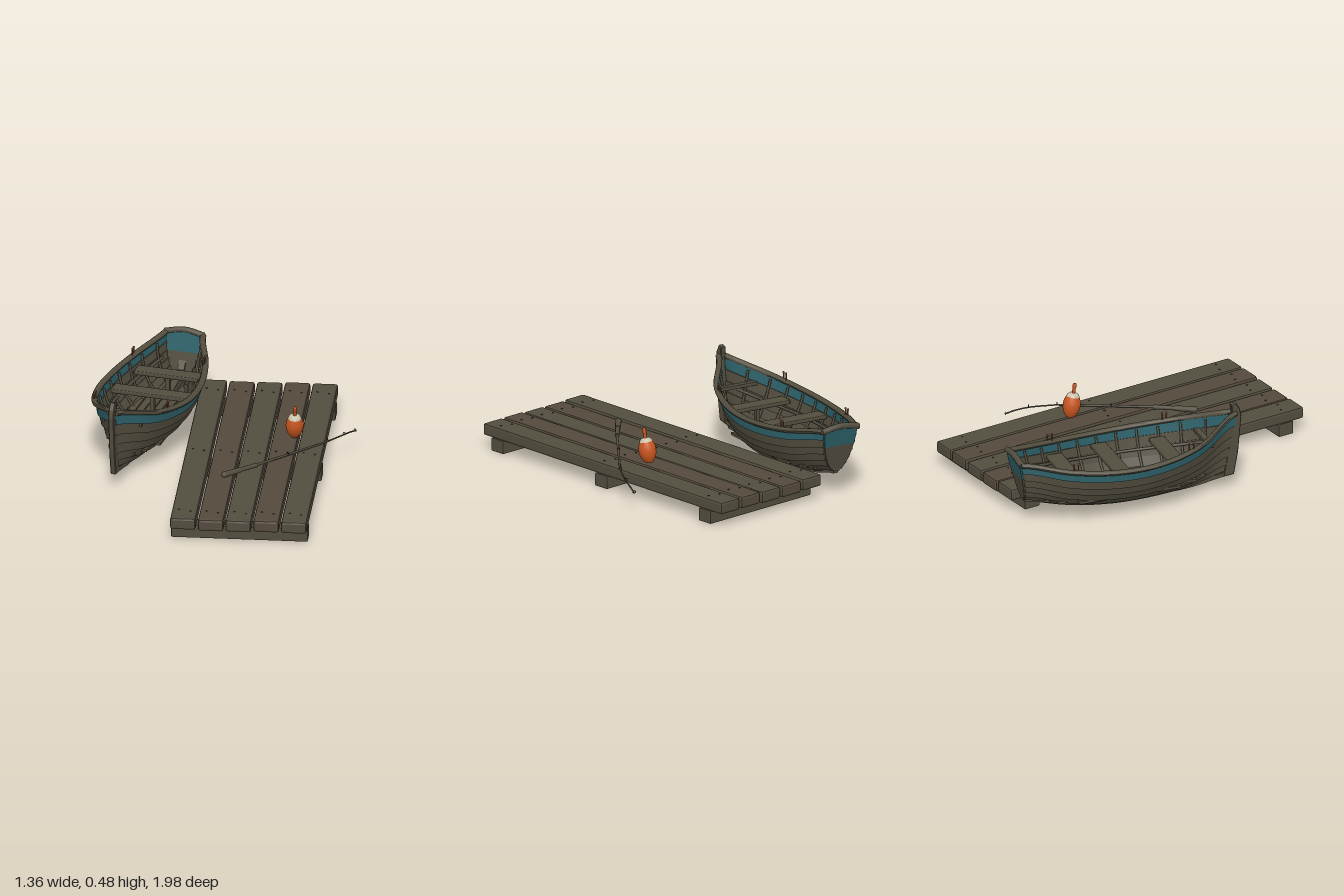
import * as THREE from 'three';
import { toCreasedNormals } from 'three/addons/utils/BufferGeometryUtils.js';
import { RoundedBoxGeometry } from 'three/addons/geometries/RoundedBoxGeometry.js';

const V3 = (x, y, z) => new THREE.Vector3(x, y, z);
const mat = (name, color) => Object.assign(new THREE.MeshStandardMaterial({ color }), { name });
const wood = mat('weatheredWood', 0x524d3e), warmWood = mat('warmWood', 0x544a3c);
const teal = mat('tealPaint', 0x2d616a), dark = mat('darkMetal', 0x39352d), copper = mat('copper', 0x74482e);
const orange = mat('orangePaint', 0xc9561f), cream = mat('creamPaint', 0xcac1a8);

function add(parent, name, geo, material, x = 0, y = 0, z = 0) {
  const m = new THREE.Mesh(geo, material);
  m.name = name;
  m.position.set(x, y, z);
  parent.add(m);
  return m;
}

// Smooth function of t in 0..1 through evenly spaced values
function spline(...values) {
  const c = new THREE.SplineCurve(values.map((v) => new THREE.Vector2(0, v)));
  return (t) => c.getPoint(t).y;
}

// Closed solid swept through section(t), each an anticlockwise loop seen from +z
function loft(section, steps = 32, t0 = 0, t1 = 1) {
  const pos = [], index = [];
  let n = 0;
  for (let i = 0; i <= steps; i++) {
    const loop = section(t0 + (t1 - t0) * i / steps);
    n = loop.length;
    loop.forEach((p) => pos.push(p.x, p.y, p.z));
  }
  for (let i = 0; i < steps; i++) for (let j = 0; j < n; j++) {
    const a = i * n + j, b = i * n + (j + 1) % n;
    index.push(a, b, b + n, a, b + n, a + n);
  }
  const e = steps * n;
  for (let j = 1; j < n - 1; j++) index.push(0, j + 1, j, e, e + j, e + j + 1);
  const g = new THREE.BufferGeometry();
  g.setAttribute('position', new THREE.Float32BufferAttribute(pos, 3));
  g.setIndex(index);
  return toCreasedNormals(g, 0.7);
}
const mirrorLoop = (loop) => loop.map((p) => V3(-p.x, p.y, p.z)).reverse();
const tube = (pts, r, seg = 16, sides = 8) =>
  new THREE.TubeGeometry(new THREE.CatmullRomCurve3(pts), seg, r, sides);

// Hull form: t runs stern to bow, s runs keel to sheer
const halfWidth = spline(0.095, 0.185, 0.236, 0.234, 0.165, 0.012);
const sheer = spline(0.365, 0.325, 0.308, 0.315, 0.35, 0.42);
const keelY = spline(0.13, 0.075, 0.05, 0.046, 0.055, 0.09);
const lerp = THREE.MathUtils.lerp;
function rawHull(t, s) {
  const a = s * Math.PI / 2, yf = 1 - Math.cos(a);
  const xf = lerp(0.85 * Math.sin(a) + 0.15 * s, yf, t ** 3 * 0.8);
  return V3(halfWidth(t) * xf, lerp(keelY(t), sheer(t), yf), lerp(-0.55 - 0.05 * yf, 0.575 + 0.03 * yf, t));
}
function hull(t, s, off = 0) {
  const p = rawHull(t, s), d = rawHull(t, s + 0.01).sub(rawHull(t, s - 0.01));
  const len = Math.hypot(d.x, d.y) || 1;
  p.x = Math.max(0, p.x + d.y / len * off);
  p.y -= d.x / len * off;
  return p;
}

function createDock() {
  const dock = new THREE.Group();
  dock.name = 'dock';
  dock.position.set(0.135, 0, 0.05);
  dock.rotation.y = -0.167;
  const drop = [0, -0.004, -0.003, 0.001, 0];
  for (let i = 0; i < 5; i++) {
    const x = (i - 2) * 0.142;
    add(dock, 'deckPlank', toCreasedNormals(new RoundedBoxGeometry(0.13, 0.064, 1.785, 1, 0.012), 0.3),
      i % 2 ? warmWood : wood, x, 0.103 + drop[i], 0);
    // Nail heads over each beam
    for (const z of [-0.765, 0.01, 0.785]) for (const sx of [-0.03, 0.03])
      add(dock, 'nail', new THREE.CylinderGeometry(0.005, 0.005, 0.004, 8), dark, x + sx, 0.136 + drop[i], z + sx * 0.3);
  }
  for (const z of [-0.765, 0.01, 0.785])
    add(dock, 'crossBeam', toCreasedNormals(new RoundedBoxGeometry(0.7, 0.07, 0.09, 1, 0.006), 0.3), wood, 0, 0.037, z);
  return dock;
}

function transomPart(s0, s1, arch) {
  const side = [];
  for (let i = 0; i <= 8; i++) side.push(hull(0, lerp(s0, s1, i / 8)));
  const shape = new THREE.Shape();
  shape.moveTo(-side[0].x, side[0].y);
  side.forEach((p) => shape.lineTo(p.x, p.y));
  const top = side[8];
  shape.quadraticCurveTo(0, top.y + arch, -top.x, top.y);
  for (let i = 7; i >= 0; i--) shape.lineTo(-side[i].x, side[i].y);
  const g = new THREE.ExtrudeGeometry(shape, { depth: 0.022, bevelEnabled: false });
  // Rake the board to follow the stern
  const p = g.attributes.position;
  for (let i = 0; i < p.count; i++)
    p.setZ(i, p.getZ(i) - 0.558 - 0.05 * (p.getY(i) - 0.13) / 0.235);
  g.computeVertexNormals();
  return g;
}

function createBoat() {
  const boat = new THREE.Group();
  boat.name = 'rowingBoat';
  boat.position.set(-0.37, 0, -0.39);
  boat.rotation.y = -0.386;

  const edges = [0, 0.2, 0.36, 0.5, 0.63, 0.75, 0.87, 1];
  for (const side of [1, -1]) {
    const pick = (loop) => (side > 0 ? loop : mirrorLoop(loop));
    // Overlapping hull planks, the top one painted
    for (let k = 0; k < 7; k++) {
      const a = edges[k], b = edges[k + 1];
      add(boat, 'hullPlank', loft((t) => pick([hull(t, a, 0.009), hull(t, b, 0.001), hull(t, b, -0.007), hull(t, a, 0)])),
        k === 6 ? teal : wood);
    }
    // Rounded gunwale
    add(boat, 'gunwale', loft((t) => {
      const c = hull(t, 1), loop = [];
      for (let j = 0; j < 10; j++) {
        const a = j / 10 * Math.PI * 2;
        loop.push(V3(c.x + 0.003 + 0.017 * Math.cos(a), c.y + 0.014 * Math.sin(a), c.z));
      }
      return pick(loop);
    }), wood);
    // Ribs inside the hull
    for (let i = 0; i < 10; i++) {
      const t = 0.08 + i * 0.09, pts = [];
      for (let j = 0; j <= 6; j++) {
        const p = hull(t, 0.3 + j * 0.11, -0.009);
        pts.push(V3(p.x * side, p.y, p.z));
      }
      add(boat, 'rib', tube(pts, 0.007, 10, 6), wood);
    }
    // Stringer that carries the seats
    const stringer = [];
    for (let i = 0; i <= 10; i++) {
      const p = hull(0.06 + i * 0.086, 0.72, -0.012);
      stringer.push(V3(p.x * side, p.y, p.z));
    }
    add(boat, 'stringer', tube(stringer, 0.008, 24, 6), wood);
    // Paired oar pins
    for (const t of [0.22, 0.74]) for (const d of [-0.012, 0.012]) {
      const p = hull(t, 1);
      add(boat, 'oarPin', new THREE.CylinderGeometry(0.004, 0.004, 0.04, 8), copper, p.x * side, p.y + 0.025, p.z + d);
      add(boat, 'oarPinKnob', new THREE.SphereGeometry(0.006, 8, 6), copper, p.x * side, p.y + 0.045, p.z + d);
    }
  }

  // Keel and stem
  add(boat, 'keel', loft((t) => {
    const p = hull(t, 0), w = 0.013;
    return [V3(-w, p.y - 0.014, p.z), V3(w, p.y - 0.014, p.z), V3(w, p.y + 0.008, p.z), V3(-w, p.y + 0.008, p.z)];
  }), wood);
  const stem = new THREE.Shape([[0.54, 0.075], [0.59, 0.08], [0.612, 0.2], [0.63, 0.4], [0.622, 0.44], [0.602, 0.473],
    [0.582, 0.468], [0.59, 0.4], [0.572, 0.25], [0.55, 0.13]].map(([z, y]) => new THREE.Vector2(z, y)));
  add(boat, 'stem', new THREE.ExtrudeGeometry(stem, { depth: 0.022, bevelSize: 0.004, bevelThickness: 0.004, bevelSegments: 1 })
    .rotateY(-Math.PI / 2), wood, 0.011);

  // Transom, painted above, with an arched cap
  add(boat, 'transomLower', transomPart(0.02, 0.75, 0), wood);
  add(boat, 'transomUpper', transomPart(0.75, 1, 0.035), teal);
  const corner = hull(0, 1);
  add(boat, 'transomCap', tube([V3(-corner.x - 0.012, corner.y, -0.597), V3(0, corner.y + 0.018, -0.602),
    V3(corner.x + 0.012, corner.y, -0.597)], 0.016, 14, 10), wood);
  const knee = new THREE.Shape([[-0.56, 0.13], [-0.3, 0.115], [-0.3, 0.14], [-0.53, 0.19], [-0.57, 0.25]]
    .map(([z, y]) => new THREE.Vector2(z, y)));
  add(boat, 'sternKnee', new THREE.ExtrudeGeometry(knee, { depth: 0.036, bevelEnabled: false }).rotateY(-Math.PI / 2), wood, 0.018);

  // Floor boards, shorter towards the sides
  for (let i = -3; i <= 3; i++) {
    const x = i * 0.042, len = 0.92 * (1 - (x / 0.2) ** 2);
    add(boat, 'floorBoard', new THREE.BoxGeometry(0.036, 0.014, len), i % 2 ? warmWood : wood, x, 0.122, -0.02);
  }
  // Seats
  for (const z of [-0.32, -0.063, 0.24]) {
    const w = hull((z + 0.58) / 1.17, 0.78, -0.004).x * 2;
    add(boat, 'seat', new RoundedBoxGeometry(w, 0.022, 0.085, 1, 0.005), wood, 0, 0.255, z);
    add(boat, 'seatPost', new THREE.BoxGeometry(0.022, 0.13, 0.022), wood, 0, 0.185, z);
  }
  // Brace across the bow
  const brace = hull(0.86, 0.9, -0.004);
  add(boat, 'bowBrace', new THREE.BoxGeometry(brace.x * 2, 0.018, 0.03), wood, 0, brace.y - 0.02, brace.z);
  return boat;
}

function createRod() {
  const rod = new THREE.Group();
  rod.name = 'fishingRod';
  const a = V3(-0.045, 0.163, 0.405), b = V3(0.04, 0.16, 0.345), c = V3(0.13, 0.157, 0.28), d = V3(0.515, 0.137, -0.035);
  const handle = (p, q, r0, r1, name) => {
    const m = add(rod, name, new THREE.CylinderGeometry(r1, r0, p.distanceTo(q), 12), wood);
    m.position.lerpVectors(p, q, 0.5);
    m.quaternion.setFromUnitVectors(V3(0, 1, 0), q.clone().sub(p).normalize());
  };
  handle(a, b, 0.016, 0.014, 'grip');
  add(rod, 'gripEnd', new THREE.SphereGeometry(0.016, 12, 8), wood, a.x, a.y, a.z);
  handle(b, c, 0.011, 0.012, 'foreGrip');
  handle(c, d, 0.007, 0.005, 'shaft');
  add(rod, 'tip', tube([d, V3(0.61, 0.125, -0.145), V3(0.65, 0.113, -0.205), V3(0.676, 0.098, -0.25)], 0.004, 20, 8), wood);
  for (const p of [V3(0.3, 0.156, 0.141), V3(0.515, 0.144, -0.035), V3(0.61, 0.131, -0.145), V3(0.674, 0.103, -0.247)]) {
    const ring = add(rod, 'lineGuide', new THREE.TorusGeometry(0.007, 0.002, 6, 12), dark, p.x, p.y, p.z);
    ring.rotation.y = 2.4;
  }
  return rod;
}

function createFloat() {
  const float = new THREE.Group();
  float.name = 'fishingFloat';
  float.position.set(0.352, 0.136, -0.1);
  float.rotation.x = 0.2;
  const lathe = (pts) => toCreasedNormals(new THREE.LatheGeometry(pts.map(([r, y]) => new THREE.Vector2(r, y)), 24), 0.7);
  add(float, 'floatBody', lathe([[0, 0.008], [0.02, 0.012], [0.034, 0.03], [0.043, 0.055], [0.046, 0.078],
    [0.043, 0.1], [0.034, 0.122]]), orange);
  add(float, 'floatCollar', lathe([[0.034, 0.122], [0.03, 0.132], [0.02, 0.14], [0, 0.142]]), cream);
  add(float, 'floatStick', lathe([[0.009, 0.135], [0.008, 0.165], [0.01, 0.168], [0.01, 0.188], [0.006, 0.193], [0, 0.194]]), orange);
  return float;
}

export function createModel() {
  const model = new THREE.Group();
  model.name = 'dockWithRowingBoat';
  model.add(createDock(), createBoat(), createRod(), createFloat());
  return model;
}
